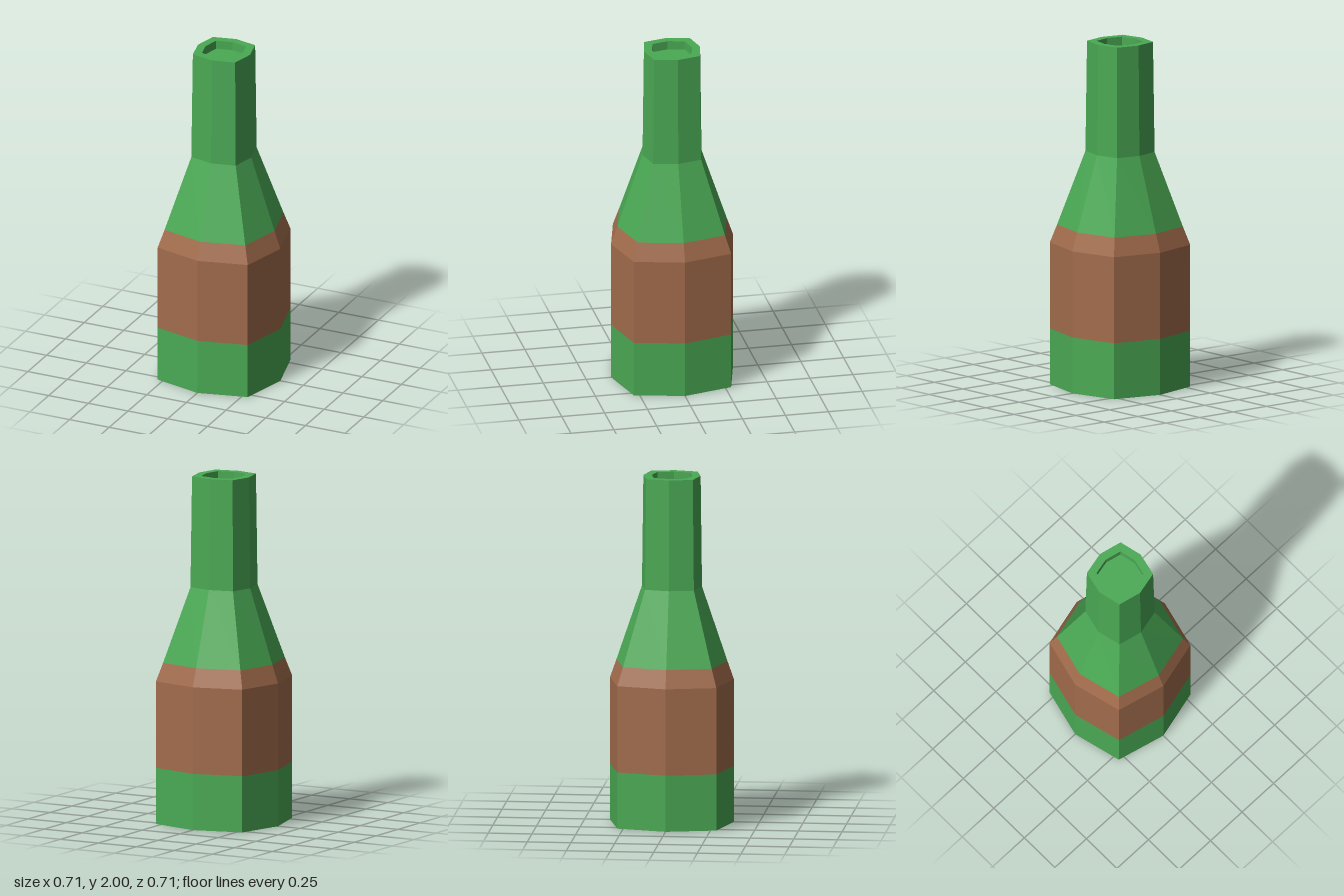
import * as THREE from 'three';

const green = new THREE.MeshStandardMaterial({ color: 0x4aa954 });
green.name = 'green glass';
const brown = new THREE.MeshStandardMaterial({ color: 0xa26c4c });
brown.name = 'brown label';

// Eight-sided faceted band from [radius, height] pairs; corners on the diagonals are pushed out
function band(name, profile, material) {
  const geo = new THREE.LatheGeometry(profile.map(([r, y]) => new THREE.Vector2(r, y)), 8).toNonIndexed();
  const p = geo.attributes.position;
  for (let i = 0; i < p.count; i++) {
    const x = p.getX(i), y = p.getY(i), z = p.getZ(i);
    if (Math.min(Math.abs(x), Math.abs(z)) > 0.01) {
      const k = y > 1 ? 1.15 : 1.13;
      p.setXYZ(i, x * k, y, z * k);
    }
  }
  geo.computeVertexNormals();
  const mesh = new THREE.Mesh(geo, material);
  mesh.name = name;
  return mesh;
}

export function createModel() {
  const bottle = new THREE.Group();
  bottle.name = 'bottle';
  bottle.add(
    // closed bottom and lower wall
    band('base', [[0, 0], [0.355, 0], [0.355, 0.325]], green),
    // label wraps the wall and the start of the shoulder
    band('label', [[0.355, 0.325], [0.355, 0.825], [0.318, 0.93]], brown),
    band('shoulder', [[0.318, 0.93], [0.172, 1.36]], green),
    band('neck', [[0.172, 1.36], [0.164, 2]], green),
    // flat lip with a shallow recessed mouth
    band('mouth', [[0.164, 2], [0.116, 2], [0.116, 1.95], [0, 1.95]], green)
  );
  return bottle;
}
